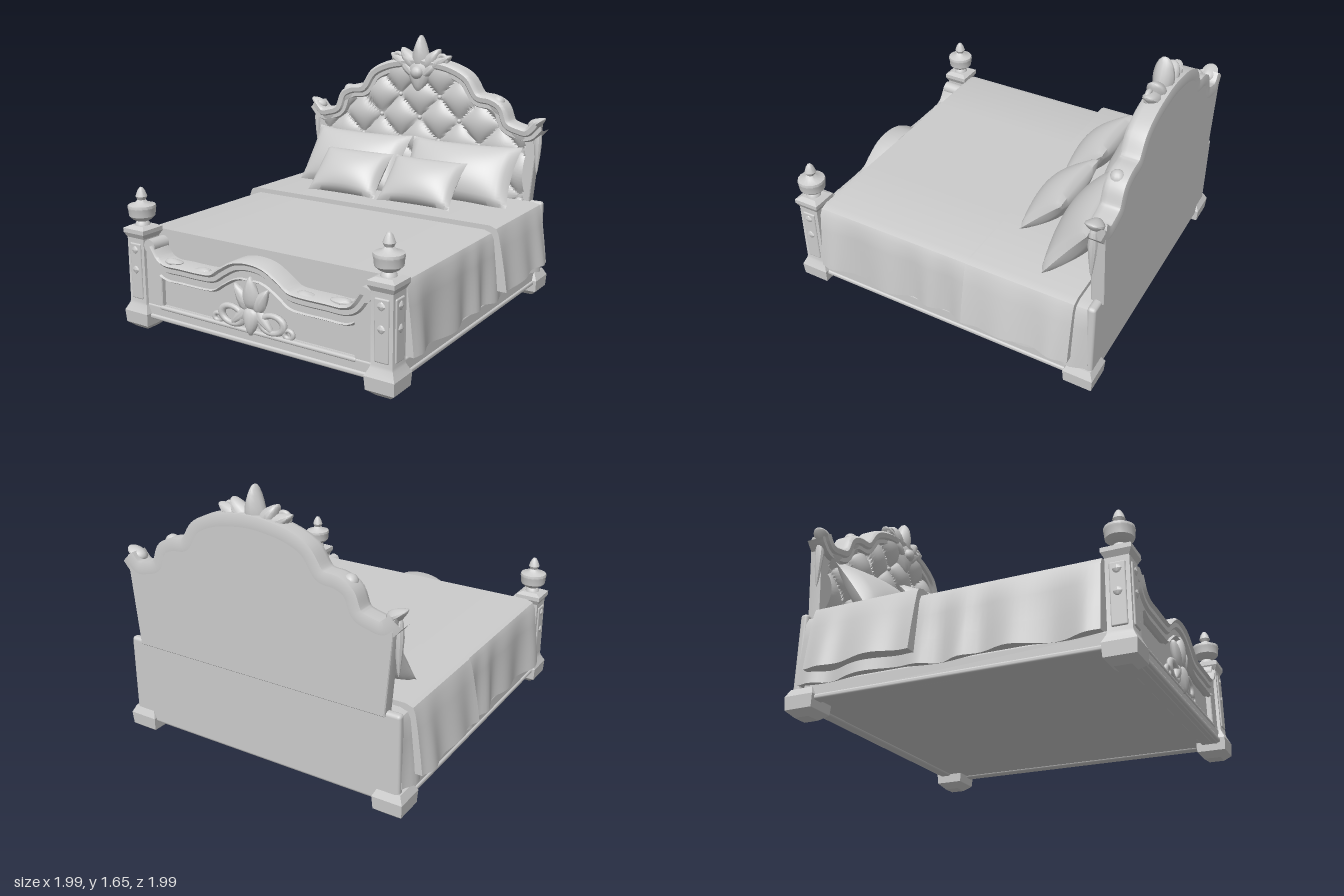
import * as THREE from 'three';
import { toCreasedNormals } from 'three/addons/utils/BufferGeometryUtils.js';
import { RoundedBoxGeometry } from 'three/addons/geometries/RoundedBoxGeometry.js';

const mat = new THREE.MeshStandardMaterial({ color: 0xcccccc });

export function createModel() {
  const root = new THREE.Group();

  function add(name, geo, x = 0, y = 0, z = 0, crease = 0.6) {
    const m = new THREE.Mesh(crease ? toCreasedNormals(geo, crease) : geo, mat);
    m.name = name;
    m.position.set(x, y, z);
    root.add(m);
    return m;
  }
  const box = (name, w, h, d, x, y, z, r = 0.012) =>
    add(name, new RoundedBoxGeometry(w, h, d, 2, r), x, y, z, 0);

  // Surface from a rule f(u, v) -> [x, y, z], with u and v in 0..1
  function grid(nu, nv, f) {
    const pos = [], idx = [];
    for (let i = 0; i <= nu; i++)
      for (let j = 0; j <= nv; j++) pos.push(...f(i / nu, j / nv));
    for (let i = 0; i < nu; i++)
      for (let j = 0; j < nv; j++) {
        const a = i * (nv + 1) + j, b = a + nv + 1;
        idx.push(a, b, b + 1, a, b + 1, a + 1);
      }
    const g = new THREE.BufferGeometry();
    g.setAttribute('position', new THREE.Float32BufferAttribute(pos, 3));
    g.setIndex(idx);
    g.computeVertexNormals();
    return g;
  }

  // Smooth symmetric outline from points of its +x half (centre first)
  function outline(half, n) {
    const left = half.slice(1).reverse().map(([x, y]) => new THREE.Vector2(-x, y));
    const right = half.map(([x, y]) => new THREE.Vector2(x, y));
    return new THREE.SplineCurve([...left, ...right]).getPoints(n);
  }
  function heightAt(pts, x) {
    for (let i = 1; i < pts.length; i++)
      if (pts[i].x >= x) {
        const a = pts[i - 1], b = pts[i];
        return a.y + (b.y - a.y) * (x - a.x) / (b.x - a.x);
      }
    return pts[pts.length - 1].y;
  }

  // Moulding: closed profile of [offset, z] swept along an outline
  function moulding(name, pts, profile) {
    const loop = [...profile, profile[0]], n = pts.length - 1;
    add(name, grid(n, loop.length - 1, (u, v) => {
      const i = Math.round(u * n), [o, z] = loop[Math.round(v * (loop.length - 1))];
      const t = pts[Math.min(n, i + 1)].clone().sub(pts[Math.max(0, i - 1)]).normalize();
      return [pts[i].x - t.y * o, pts[i].y + t.x * o, z];
    }));
  }
  function slab(name, points, z0, z1, hole) {
    const s = new THREE.Shape(points);
    if (hole) s.holes.push(new THREE.Path(hole));
    add(name, new THREE.ExtrudeGeometry(s, {
      depth: z1 - z0 - 0.01, bevelSize: 0.005, bevelThickness: 0.005, bevelSegments: 1,
    }), 0, 0, z0 + 0.005);
  }
  const V = (x, y) => new THREE.Vector2(x, y);
  const lathe = (pts, n) => new THREE.LatheGeometry(pts.map(p => V(...p)), n);

  // Carved leaf growing from (x, y), turned by rot
  function leaf(name, x, y, z, w, h, d, rot = 0) {
    const g = new THREE.SphereGeometry(1, 14, 10), p = g.attributes.position;
    for (let i = 0; i < p.count; i++) {
      const t = (p.getY(i) + 1) / 2, px = p.getX(i);
      p.setXYZ(i, px * w * 0.5 * (1.25 - 0.85 * t), t * h,
        p.getZ(i) * d * (1 - 0.35 * Math.abs(px)));
    }
    g.computeVertexNormals();
    add(name, g, x, y, z, 0.8).rotation.z = rot;
  }
  function scroll(name, x, y, z, r, tube, sx = 1, rot = 0) {
    const m = add(name, new THREE.TorusGeometry(r, tube, 8, 20), x, y, z, 0);
    m.scale.x = sx;
    m.rotation.z = rot;
  }

  // Draped cloth: hem, side and top cross-section run along z
  function drape(name, hw, top, hem, flare, z0, z1, amp, freq, corner) {
    const half = [[hw + flare, hem, 1], [hw + flare * 0.7, hem + (top - hem) * 0.3, 0.75],
      [hw + flare * 0.3, hem + (top - hem) * 0.65, 0.35], [hw, top - 0.05, 0.1],
      [hw - 0.015, top - 0.015, 0], [hw - 0.06, top, 0], [0.4, top, 0]];
    const loop = [...half.map(([x, y, k]) => [-x, y, k]), ...half.slice().reverse()];
    loop.push(loop[0]);
    const n = 60, nv = loop.length - 1;
    add(name, grid(n, nv, (u, v) => {
      const i = Math.round(u * n), [x, y, k] = loop[Math.round(v * nv)];
      const z = z0 + (z1 - z0) * THREE.MathUtils.clamp((i - 1) / (n - 2), 0, 1);
      if (i === 0 || i === n) return [0, (top + hem) / 2, z];
      const w = amp * Math.sin(z * freq + Math.sin(z * 7)) +
        corner * THREE.MathUtils.smoothstep(z, z1 - 0.17, z1);
      const lift = k === 1 ? 0.012 * Math.sin(z * 9 + Math.sign(x)) : 0;
      return [x + Math.sign(x) * k * w, y + lift, z];
    }));
  }

  // Base frame and back panel
  box('baseSlab', 1.72, 0.1, 1.84, 0, 0.15, 0);
  for (const s of [-1, 1]) {
    box('sideRail', 0.06, 0.1, 1.8, s * 0.87, 0.14, 0);
    box('sideRailBead', 0.03, 0.03, 1.78, s * 0.895, 0.105, 0);
    box('endRail', 1.7, 0.09, 0.06, 0, 0.135, s * 0.925);
  }
  box('backPanel', 1.8, 0.53, 0.05, 0, 0.355, -0.95, 0.02);

  // Bedding
  drape('coverlet', 0.895, 0.605, 0.185, 0.025, -0.95, 0.82, 0.018, 21, 0.035);
  drape('throwBlanket', 0.925, 0.635, 0.25, 0.06, -0.86, -0.2, 0.012, 24, 0);

  // Pillows with pinched edges and pointed corners
  function pillow(name, w, h, t, x, y, z, tilt, yaw) {
    const m = add(name, grid(24, 40, (a, s) => {
      const u = a * 2 - 1, q = s * 4, v = q < 2 ? q - 1 : 3 - q;
      const puff = Math.pow((1 - u * u) * (1 - v * v), 0.55) * t / 2 + 0.006;
      return [w / 2 * u * (1 - 0.06 * (1 - v * v)), h / 2 * v * (1 - 0.1 * (1 - u * u)),
        (q < 2 ? 1 : -1) * puff * (Math.abs(u) === 1 || Math.abs(v) === 1 ? 0 : 1)];
    }), x, y, z, 0.9);
    m.rotation.set(-tilt, yaw, 0, 'YXZ');
  }
  for (const s of [-1, 1]) {
    pillow('largePillow', 0.78, 0.44, 0.24, s * 0.4, 0.805, -0.71, 0.62, s * 0.04);
    pillow('smallPillow', 0.52, 0.36, 0.19, s * 0.27, 0.77, -0.455, 0.78, 0);
  }

  // Headboard panel, moulding and tufted upholstery
  const headTop = outline([[0, 1.47], [0.12, 1.46], [0.24, 1.435], [0.35, 1.38], [0.43, 1.27],
    [0.53, 1.25], [0.6, 1.21], [0.645, 1.11], [0.73, 1.075], [0.8, 1.07], [0.86, 1.13]], 120);
  slab('headboardPanel', [V(-0.81, 0.6), V(0.81, 0.6), ...headTop.slice().reverse()], -0.985, -0.91);
  moulding('headboardMoulding', headTop, [[-0.055, -0.9], [-0.045, -0.88], [-0.02, -0.88],
    [-0.01, -0.865], [0.02, -0.86], [0.035, -0.875], [0.04, -0.9], [0.04, -0.98], [0, -0.99], [-0.055, -0.98]]);
  const tuft = (x, y) => {
    const a = x / 0.3 + (y - 1.1) / 0.3, b = x / 0.3 - (y - 1.1) / 0.3;
    return 0.05 * Math.sqrt(Math.abs(Math.sin(Math.PI * a) * Math.sin(Math.PI * b)));
  };
  add('tuftedUpholstery', grid(100, 60, (u, v) => {
    const x = -0.78 + 1.56 * u, y = 0.62 + (heightAt(headTop, x) - 0.64) * v;
    return [x, y, -0.915 + tuft(x, y)];
  }), 0, 0, 0, 0.8);
  for (let a = -5; a <= 5; a++)
    for (let b = -5; b <= 5; b++) {
      const x = 0.15 * (a + b), y = 1.1 + 0.15 * (a - b);
      if (Math.abs(x) < 0.7 && y > 0.9 && y < heightAt(headTop, x) - 0.09)
        add('tuftButton', new THREE.SphereGeometry(0.016, 10, 8), x, y, -0.907, 0);
    }

  // Carved crest on the headboard
  leaf('crestCentreLeaf', 0, 1.4, -0.91, 0.15, 0.26, 0.065);
  leaf('crestDropLeaf', 0, 1.5, -0.89, 0.2, 0.23, 0.05, Math.PI);
  add('crestBoss', new THREE.SphereGeometry(0.045, 12, 10), 0, 1.41, -0.86, 0);
  for (const s of [-1, 1]) {
    leaf('crestInnerLeaf', s * 0.03, 1.42, -0.91, 0.13, 0.19, 0.06, -s * 0.65);
    leaf('crestOuterLeaf', s * 0.04, 1.42, -0.91, 0.12, 0.22, 0.055, -s * 1.05);
    leaf('crestLowerLeaf', s * 0.13, 1.48, -0.89, 0.09, 0.17, 0.04, s * 2.35);
    scroll('crestScroll', s * 0.17, 1.5, -0.895, 0.03, 0.016);

    // Shoulder knobs, ears and hanging drops
    add('shoulderKnob', new THREE.SphereGeometry(0.042, 12, 10), s * 0.575, 1.25, -0.915, 0);
    leaf('earLeaf', s * 0.79, 1.1, -0.92, 0.08, 0.13, 0.055, -s * 1.0);
    add('hangingDrop', lathe([[0, 0.8], [0.008, 0.83], [0.02, 0.93], [0.027, 1.02],
      [0.02, 1.1], [0.01, 1.13], [0, 1.14]], 10), s * 0.855, 0, -0.92);
  }

  // Footboard: inset panel, raised frame and arched moulding
  const footTop = outline([[0, 0.545], [0.1, 0.53], [0.19, 0.48], [0.26, 0.435], [0.35, 0.425],
    [0.5, 0.425], [0.61, 0.425], [0.68, 0.455], [0.735, 0.53]], 80);
  const footBody = [V(-0.79, 0.09), V(0.79, 0.09), V(0.79, 0.53), ...footTop.slice().reverse(), V(-0.79, 0.53)];
  slab('footboardPanel', footBody, 0.85, 0.92);
  const inner = footTop.filter(p => Math.abs(p.x) < 0.67).map(p => V(p.x, Math.min(p.y, 0.54) - 0.075));
  slab('footboardFrame', footBody, 0.915, 0.95, [V(-0.67, 0.17), ...inner, V(0.67, 0.17)]);
  moulding('footboardMoulding', footTop, [[-0.035, 0.945], [-0.02, 0.965], [0.005, 0.965],
    [0.02, 0.98], [0.03, 0.965], [0.03, 0.85], [0, 0.835], [-0.035, 0.85]]);
  moulding('footboardBead', inner, [[-0.012, 0.94], [0, 0.962], [0.012, 0.94]]);
  box('footboardLowerBead', 1.36, 0.025, 0.03, 0, 0.17, 0.945);
  box('footboardPlinth', 1.56, 0.03, 0.05, 0, 0.105, 0.94);

  // Footboard carving
  leaf('carvingUpperLeaf', 0, 0.3, 0.95, 0.13, 0.19, 0.035);
  leaf('carvingLowerLeaf', 0, 0.31, 0.955, 0.12, 0.16, 0.035, Math.PI);
  for (const s of [-1, 1]) {
    leaf('carvingSideLeaf', s * 0.02, 0.29, 0.945, 0.1, 0.17, 0.03, -s * 0.6);
    leaf('carvingLowLeaf', s * 0.02, 0.3, 0.945, 0.08, 0.17, 0.025, -s * 2.3);
    scroll('carvingRing', s * 0.14, 0.24, 0.945, 0.05, 0.017, 1.5, s * 0.1);
    scroll('carvingScroll', s * 0.245, 0.205, 0.94, 0.023, 0.013, 1.2);
    const roll = add('footboardScroll', new THREE.CylinderGeometry(0.042, 0.042, 0.12, 16), s * 0.735, 0.535, 0.905);
    roll.rotation.x = Math.PI / 2;
    leaf('footboardTopLeaf', s * 0.64, 0.455, 0.93, 0.05, 0.13, 0.04, s * 1.5);
    leaf('footboardArchLeaf', s * 0.3, 0.45, 0.93, 0.04, 0.11, 0.035, -s * 1.55);
  }

  // Corner feet, front posts and finials
  const foot = [[0, 0.01], [0.045, 0.01], [0.085, 0.045], [0.09, 0.12], [0.068, 0.165]];
  const post = [...foot, [0.064, 0.18], [0.064, 0.57], [0.08, 0.6], [0.08, 0.625], [0.05, 0.64], [0, 0.64]];
  const square = pts => lathe(pts.map(([r, y]) => [r * Math.SQRT2, y]), 4).rotateY(Math.PI / 4);
  for (const s of [-1, 1]) {
    const x = s * 0.84;
    add('rearFoot', square([...foot, [0, 0.165]]), x, 0, -0.905, 0.3);
    add('frontPost', square(post), x, 0, 0.905, 0.3);
    box('postFrontPanel', 0.085, 0.34, 0.02, x, 0.37, 0.967, 0.008);
    box('postSidePanel', 0.02, 0.34, 0.085, x + s * 0.062, 0.37, 0.905, 0.008);
    for (const y of [0.38, 0.5]) {
      add('postBoss', new THREE.OctahedronGeometry(0.028, 1), x, y, 0.972).scale.z = 0.5;
      add('postBoss', new THREE.OctahedronGeometry(0.028, 1), x + s * 0.068, y, 0.905).scale.x = 0.5;
    }
    add('finial', lathe([[0.045, 0.635], [0.042, 0.65], [0.032, 0.663], [0.055, 0.675], [0.076, 0.695],
      [0.08, 0.735], [0.083, 0.745], [0.08, 0.76], [0.04, 0.772], [0.024, 0.79], [0.034, 0.81],
      [0.024, 0.84], [0.012, 0.86], [0, 0.866]], 16), x, 0, 0.905);
  }
  return root;
}
